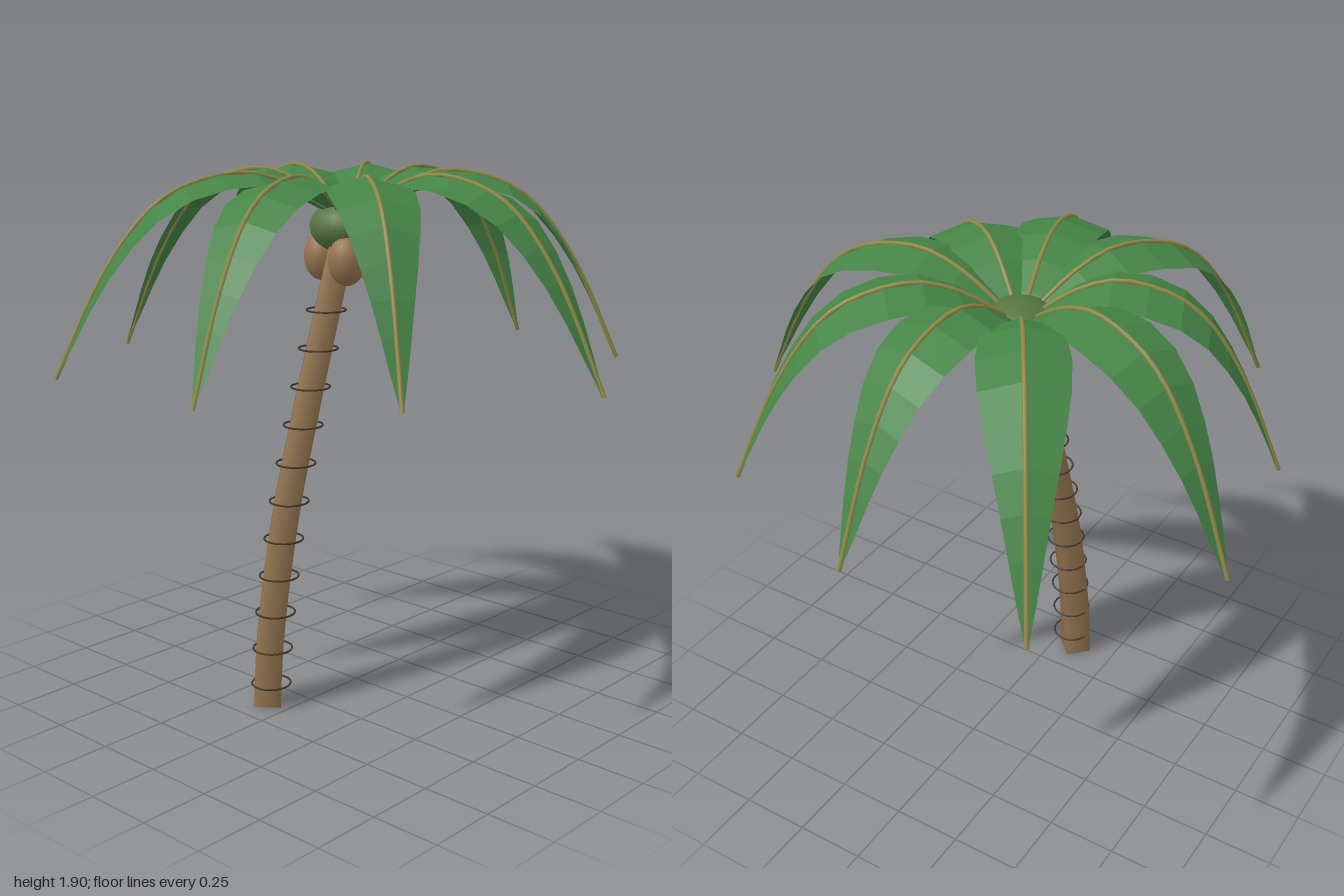
import * as THREE from 'three';

const material = (name, color, side = THREE.FrontSide) => {
  const m = new THREE.MeshStandardMaterial({ color, side });
  m.name = name;
  return m;
};

const V = (x, y, z) => new THREE.Vector3(x, y, z);
const CROWN = V(0.03, 1.7, -0.067);

// Four-sided tapered trunk bent along a curve, corners facing the axes
function bentTrunk(curve, bottomRadius, topRadius) {
  const g = new THREE.CylinderGeometry(topRadius, bottomRadius, 1, 4, 16, true);
  const pos = g.attributes.position, normal = g.attributes.normal;
  for (let i = 0; i < pos.count; i++) {
    const t = THREE.MathUtils.clamp(pos.getY(i) + 0.5, 0, 1);
    const tangent = curve.getTangentAt(t);
    const side = tangent.clone().cross(V(0, 0, 1)).normalize();
    const front = side.clone().cross(tangent);
    const p = curve.getPointAt(t)
      .addScaledVector(side, pos.getX(i))
      .addScaledVector(front, pos.getZ(i));
    const n = side.multiplyScalar(normal.getX(i))
      .addScaledVector(front, normal.getZ(i)).normalize();
    pos.setXYZ(i, p.x, p.y, p.z);
    normal.setXYZ(i, n.x, n.y, n.z);
  }
  return g;
}

// Arching midrib along +x; heights are relative to the crown
function ribCurve(length) {
  const profile = [[0, 0], [0.12, 0.1], [0.25, 0.172], [0.37, 0.198],
    [0.56, 0.158], [0.68, 0.08], [0.83, -0.12], [1, -0.475]];
  return new THREE.CatmullRomCurve3(profile.map(([u, y]) => V(u * length, y, 0)));
}

// Faceted leaf blade: two halves folded down slightly from the midrib
function bladeGeometry(curve, length) {
  const steps = 11, positions = [], index = [];
  for (let i = 0; i <= steps; i++) {
    const p = curve.getPointAt(i / steps);
    const u = THREE.MathUtils.clamp(p.x / length, 0, 1);
    const w = 0.004 + 0.142 * Math.pow(Math.max(Math.sin(Math.PI * Math.pow(u, 0.9)), 0), 0.93);
    const droop = 0.25 * w;
    positions.push(p.x, p.y - droop, -w, p.x, p.y, 0, p.x, p.y - droop, w);
    if (i === steps) break;
    for (const k of [0, 1]) {
      const a = i * 3 + k;
      index.push(a, a + 1, a + 3, a + 1, a + 4, a + 3);
    }
  }
  const g = new THREE.BufferGeometry();
  g.setAttribute('position', new THREE.Float32BufferAttribute(positions, 3));
  g.setIndex(index);
  const flat = g.toNonIndexed();
  flat.computeVertexNormals();
  return flat;
}

export function createModel() {
  const bark = material('bark', 0x92744e, THREE.DoubleSide);
  const ringBrown = material('ring brown', 0x46362a);
  const shell = material('coconut shell', 0x967350);
  const crownGreen = material('crown green', 0x557540);
  const leafGreen = material('leaf green', 0x458446, THREE.DoubleSide);
  const ribOlive = material('rib olive', 0x8f8a48);

  const model = new THREE.Group();
  model.name = 'palmTree';
  const add = (parent, name, geometry, mat) => {
    const mesh = new THREE.Mesh(geometry, mat);
    mesh.name = name;
    parent.add(mesh);
    return mesh;
  };

  // Leaning trunk
  const path = new THREE.CatmullRomCurve3([
    V(-0.383, 0.006, -0.09), V(-0.37, 0.22, -0.087), V(-0.333, 0.48, -0.082),
    V(-0.278, 0.75, -0.077), V(-0.205, 1.01, -0.072), V(-0.123, 1.28, -0.067),
    V(0.005, 1.68, -0.062)]);
  add(model, 'trunk', bentTrunk(path, 0.069, 0.061), bark);

  // Level rings up the trunk
  const samples = path.getPoints(400);
  const ringGeometry = new THREE.TorusGeometry(0.07, 0.0035, 6, 24).rotateX(Math.PI / 2);
  for (let i = 0; i < 11; i++) {
    const y = 0.088 + i * 0.1325;
    const ring = add(model, 'trunkRing', ringGeometry, ringBrown);
    ring.position.set(samples.find(p => p.y >= y).x, y, -0.072);
  }

  // Crown ball
  const ball = add(model, 'crownBall', new THREE.SphereGeometry(0.138, 20, 14), crownGreen);
  ball.position.copy(CROWN);
  ball.scale.y = 0.7;

  // Coconuts
  const coconutGeometry = new THREE.SphereGeometry(0.067, 18, 14).scale(1, 1.32, 1);
  for (const degrees of [17, 137, 257]) {
    const a = THREE.MathUtils.degToRad(degrees);
    const nut = add(model, 'coconut', coconutGeometry, shell);
    nut.position.set(0.022 + 0.1 * Math.cos(a), 1.59, CROWN.z + 0.1 * Math.sin(a));
  }

  // Nine fronds in three repeating lengths
  const lengths = [0.895, 0.975, 1.056];
  for (let i = 0; i < 9; i++) {
    const length = lengths[i % 3];
    const curve = ribCurve(length);
    const frond = new THREE.Group();
    frond.name = 'frond';
    add(frond, 'blade', bladeGeometry(curve, length), leafGreen);
    add(frond, 'midrib', new THREE.TubeGeometry(curve, 22, 0.008, 6), ribOlive);
    frond.position.copy(CROWN);
    frond.rotation.y = -THREE.MathUtils.degToRad(7 + 40 * i);
    model.add(frond);
  }
  return model;
}
